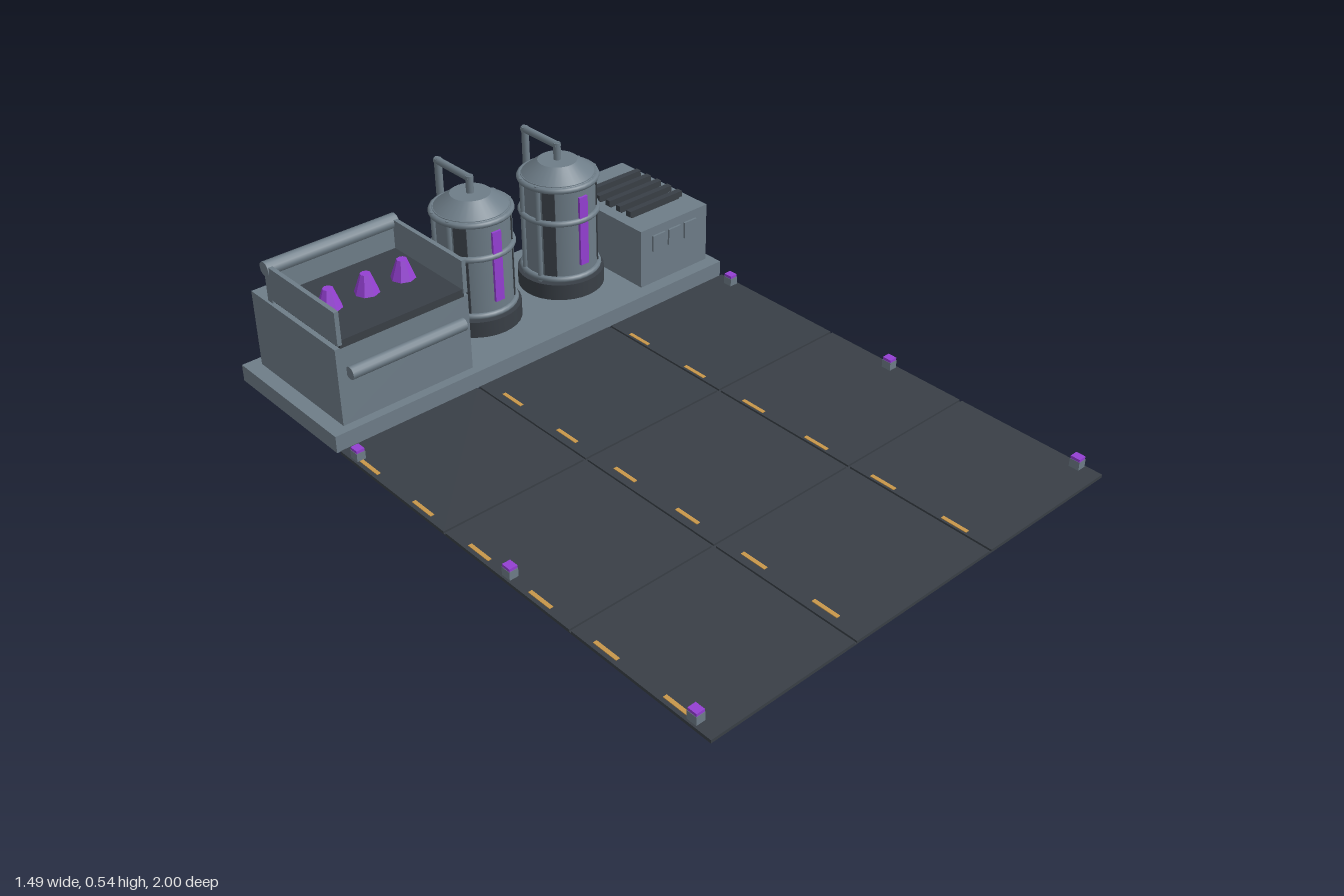
import * as THREE from 'three';

const mat = (name, color) => {
  const m = new THREE.MeshStandardMaterial({ color });
  m.name = name;
  return m;
};

export function createModel() {
  const steel = mat('steel grey', 0x6e7d88);
  const dark = mat('dark panel', 0x393f46);
  const glow = mat('purple', 0x9440d2);
  const amber = mat('amber', 0xc8974a);
  const root = new THREE.Group();
  root.name = 'processingPad';

  const group = (name, x = 0, y = 0, z = 0) => {
    const g = new THREE.Group();
    g.name = name;
    g.position.set(x, y, z);
    root.add(g);
    return g;
  };
  const add = (parent, name, geo, m, x = 0, y = 0, z = 0) => {
    const mesh = new THREE.Mesh(geo, m);
    mesh.name = name;
    mesh.position.set(x, y, z);
    parent.add(mesh);
    return mesh;
  };
  // Box given by its minimum and maximum on each axis
  const box = (parent, name, m, x0, x1, y0, y1, z0, z1) =>
    add(parent, name, new THREE.BoxGeometry(x1 - x0, y1 - y0, z1 - z0), m,
      (x0 + x1) / 2, (y0 + y1) / 2, (z0 + z1) / 2);
  const bar = (r, len, sides = 12) => new THREE.CylinderGeometry(r, r, len, sides);

  // Floor mat: backing sheet, nine tiles, amber dashes and edge markers
  const floor = group('floorMat');
  box(floor, 'backing', dark, -0.74, 0.74, 0, 0.004, -0.49, 1);
  const xs = [[-0.74, -0.263], [-0.255, 0.25], [0.258, 0.74]];
  const zs = [[-0.49, -0.006], [0.002, 0.505], [0.513, 1]];
  for (const [x0, x1] of xs)
    for (const [z0, z1] of zs) box(floor, 'tile', dark, x0, x1, 0.004, 0.01, z0, z1);
  for (const x of [-0.722, -0.225, 0.27])
    for (let i = 0; i < 6; i++) {
      const z = -0.37 + i * 0.248;
      box(floor, 'dash', amber, x - 0.006, x + 0.006, 0.009, 0.012, z - 0.042, z + 0.042);
    }
  for (const x of [-0.72, 0.72])
    for (const z of [-0.43, 0.25, 0.93]) {
      box(floor, 'markerPost', steel, x - 0.014, x + 0.014, 0.01, 0.036, z - 0.016, z + 0.016);
      box(floor, 'markerCap', glow, x - 0.013, x + 0.013, 0.036, 0.045, z - 0.015, z + 0.015);
    }

  // Machine platform
  box(root, 'platform', steel, -0.745, 0.74, 0, 0.055, -1, -0.5);

  // Hopper with open tray
  const hopper = group('hopper');
  box(hopper, 'hopperBody', steel, -0.698, -0.247, 0.055, 0.305, -0.965, -0.53);
  box(hopper, 'bed', dark, -0.682, -0.262, 0.305, 0.33, -0.86, -0.527);
  box(hopper, 'backWall', steel, -0.69, -0.255, 0.305, 0.425, -0.885, -0.86);
  for (const [x0, x1] of [[-0.692, -0.678], [-0.267, -0.253]])
    box(hopper, 'sideWall', steel, x0, x1, 0.318, 0.425, -0.88, -0.522);
  add(hopper, 'backRail', bar(0.023, 0.445), steel, -0.4725, 0.413, -0.875).rotation.z = Math.PI / 2;
  add(hopper, 'handle', bar(0.02, 0.39), steel, -0.473, 0.225, -0.515).rotation.z = Math.PI / 2;
  for (const x of [-0.6, -0.475, -0.35])
    add(hopper, 'crystal', new THREE.CylinderGeometry(0.016, 0.038, 0.06, 8).toNonIndexed(), glow, x, 0.36, -0.7)
      .geometry.computeVertexNormals();

  // Two ringed tanks with outlet pipes
  for (const x of [-0.052, 0.283]) {
    const tank = group('tank', x, 0, -0.762);
    add(tank, 'tankBase', bar(0.138, 0.053, 32), dark, 0, 0.0815, 0);
    add(tank, 'tankBody', bar(0.116, 0.334, 32), steel, 0, 0.273, 0);
    add(tank, 'dome', new THREE.CylinderGeometry(0.062, 0.12, 0.045, 32), steel, 0, 0.4575, 0);
    for (const y of [0.12, 0.315, 0.428])
      add(tank, 'ring', new THREE.TorusGeometry(0.12, 0.01, 8, 32), steel, 0, y, 0).rotation.x = Math.PI / 2;
    for (const s of [-1, 1]) {
      const a = s * 0.95;
      add(tank, 'darkStrip', new THREE.BoxGeometry(0.04, 0.3, 0.008), dark,
        0.115 * Math.sin(a), 0.27, 0.115 * Math.cos(a)).rotation.y = a;
      for (const b of [1.25, 1.9])
        add(tank, 'rod', bar(0.009, 0.33, 8), steel, s * 0.118 * Math.sin(b), 0.273, 0.118 * Math.cos(b));
    }
    box(tank, 'gauge', glow, -0.016, 0.016, 0.16, 0.395, 0.114, 0.123);
    add(tank, 'pipeRiser', bar(0.012, 0.06), steel, 0, 0.505, 0);
    add(tank, 'pipeTop', bar(0.012, 0.172), steel, 0, 0.527, -0.08).rotation.x = Math.PI / 2;
    add(tank, 'pipeDown', bar(0.012, 0.48), steel, 0, 0.295, -0.157);
  }

  // Vented control box
  const vent = group('ventBox');
  box(vent, 'ventBody', steel, 0.434, 0.717, 0.055, 0.255, -0.957, -0.545);
  for (let i = 0; i < 5; i++) {
    const z = -0.84 + i * 0.05;
    box(vent, 'slat', dark, 0.465, 0.688, 0.262, 0.282, z - 0.01, z + 0.01);
    box(vent, 'slatFoot', dark, 0.475, 0.678, 0.255, 0.262, z - 0.006, z + 0.006);
  }
  for (const x of [0.507, 0.574, 0.642])
    box(vent, 'button', steel, x - 0.026, x + 0.026, 0.17, 0.225, -0.546, -0.538);

  return root;
}
